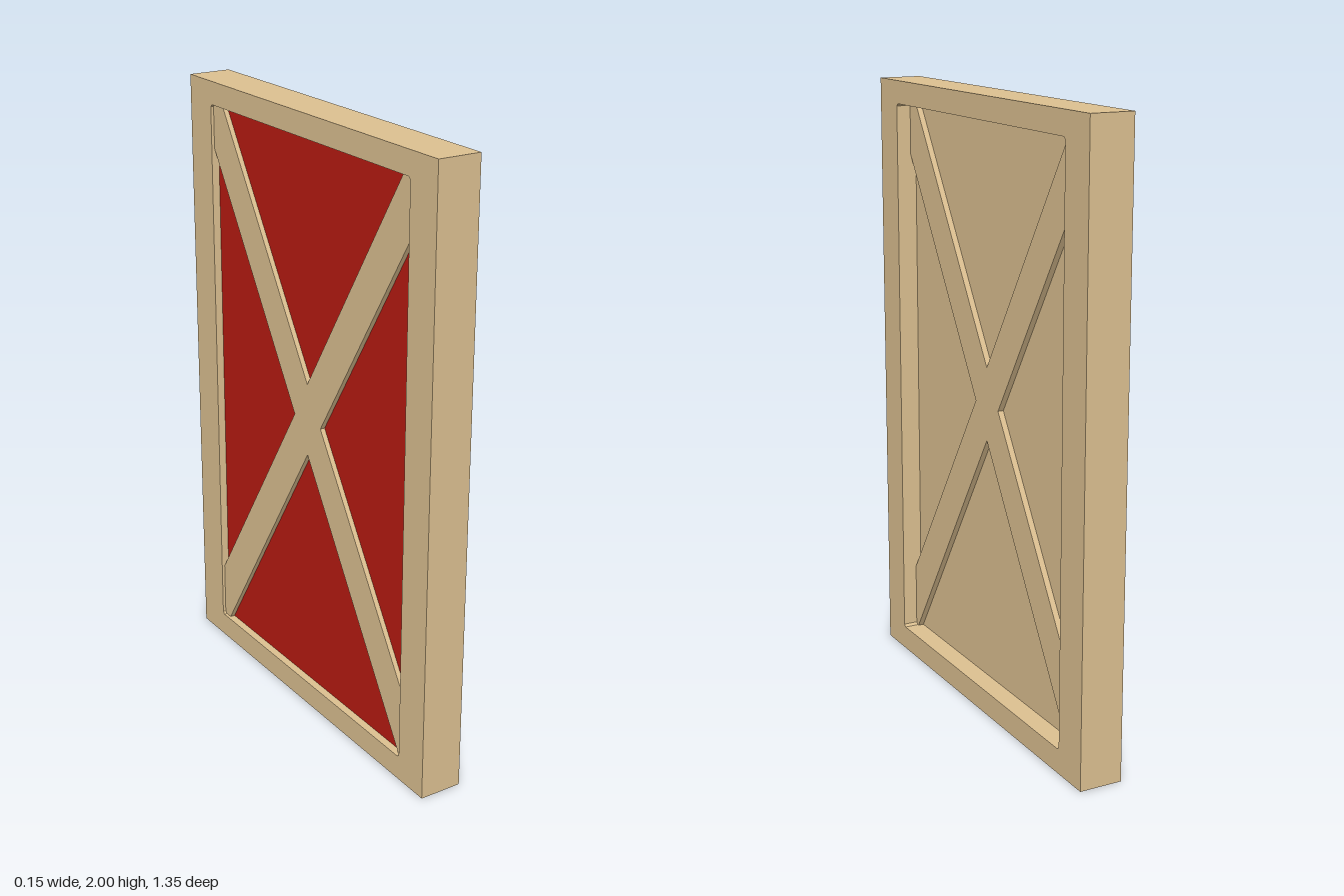
import * as THREE from 'three';

const TAN = 0xdbbf90, RED = 0xb81a11;
const points = (list) => list.map(([u, v]) => new THREE.Vector2(u, v));

// Opening outline with tiny clipped corners
const L = -0.55, R = 0.545, B = 0.08, T = 1.925, C = 0.008;
const opening = [
  [L + C, B], [R - C, B], [R, B + C], [R, T - C],
  [R - C, T], [L + C, T], [L, T - C], [L, B + C],
];

// Extrudes an outline drawn in (-z, y) along x, from x0 to x1
function slab(name, shape, x0, x1, color) {
  const geometry = new THREE.ExtrudeGeometry(shape, { depth: x1 - x0, bevelEnabled: false });
  geometry.translate(0, 0, x0).rotateY(Math.PI / 2);
  const mesh = new THREE.Mesh(geometry, new THREE.MeshStandardMaterial({ color }));
  mesh.name = name;
  return mesh;
}

export function createModel() {
  const door = new THREE.Group();
  door.name = 'door';

  // Outer frame with a rectangular opening
  const frame = new THREE.Shape(points([[-0.675, 0], [0.675, 0], [0.675, 2], [-0.675, 2]]));
  frame.holes.push(new THREE.Path(points(opening)));
  door.add(slab('frame', frame, -0.071, 0.071, TAN));

  // Two boards back to back: plain on one side, red on the other
  const board = new THREE.Shape(points(opening));
  door.add(slab('plainPanel', board, -0.02, 0.004, TAN));
  door.add(slab('redPanel', board, -0.045, -0.02, RED));

  // Crossed braces, standing proud of both panels
  const cross = new THREE.Shape(points([
    [L, T], [L, 1.755], [-0.085, 1.02], [L, 0.3], [L, B], [-0.535, B],
    [-0.01, 0.905], [0.51, B], [R, B], [R, 0.27], [0.065, 1.02], [R, 1.78],
    [R, T], [0.485, T], [-0.01, 1.145], [-0.505, T],
  ]));
  door.add(slab('crossBraces', cross, -0.061, 0.023, TAN));

  // The door hangs very slightly ajar
  door.rotation.y = 0.0045;
  const model = new THREE.Group();
  model.add(door);
  return model;
}
